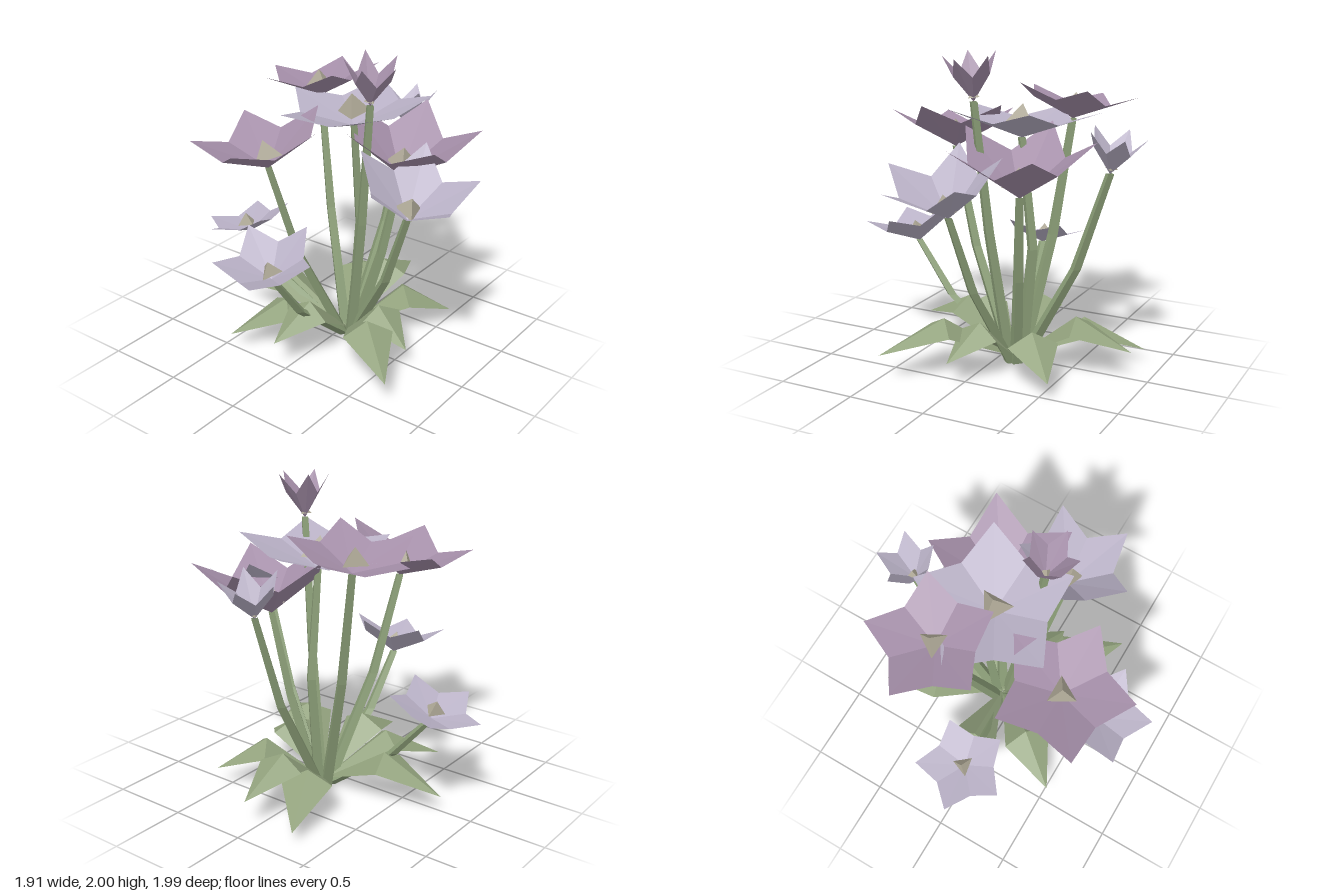
import * as THREE from 'three';

const paint = (color) => new THREE.MeshStandardMaterial({ color, flatShading: true, side: THREE.DoubleSide });
const lavender = paint(0xb9b1c6), mauve = paint(0xa48ea8), leafGreen = paint(0x93a37e),
  stemGreen = paint(0x8c9f78), tan = paint(0xb0aa98);
const V = (x, y, z) => new THREE.Vector3(x, y, z);
const UP = V(0, 1, 0);
const ROOT = V(0.12, 0, 0.04);

// Flat-faced mesh from corner points, three per triangle
function faceted(points, material, name) {
  const geo = new THREE.BufferGeometry().setFromPoints(points);
  geo.computeVertexNormals();
  const mesh = new THREE.Mesh(geo, material);
  mesh.name = name;
  return mesh;
}

// Star-shaped bloom: five tips joined at lower, shorter notches, with a three-sided pistil
function makeBloom({ at, r, rise, lean, spin, mat }) {
  const bloom = new THREE.Group();
  bloom.name = 'bloom';
  const polar = (deg, radius, y) => {
    const a = THREE.MathUtils.degToRad(deg);
    return V(Math.cos(a) * radius, y, Math.sin(a) * radius);
  };
  const centre = V(0, 0, 0), pts = [];
  for (let i = 0; i < 5; i++) {
    const a = spin + i * 72;
    const tip = polar(a, r, rise);
    const before = polar(a - 36, r * 0.67, rise * 0.57);
    const after = polar(a + 36, r * 0.67, rise * 0.57);
    pts.push(centre, tip, before, centre, after, tip);
  }
  bloom.add(faceted(pts, mat, 'petals'));

  const pistil = new THREE.Mesh(new THREE.ConeGeometry(r * 0.24, r * 0.26, 3), tan);
  pistil.name = 'pistil';
  pistil.position.y = r * 0.29;
  pistil.rotation.y = -THREE.MathUtils.degToRad(spin);
  bloom.add(pistil);

  bloom.position.set(...at);
  bloom.quaternion.setFromUnitVectors(UP, V(lean[0], 1, lean[1]).normalize());
  return bloom;
}

// Tapered four-sided stem that bends once on its way out to the bloom
function makeStem({ at, bulge = 0 }) {
  const top = V(...at);
  const out = V(top.x - ROOT.x, 0, top.z - ROOT.z);
  const foot = ROOT.clone().addScaledVector(out.clone().normalize(), 0.045);
  const bend = V(ROOT.x + out.x * 0.66 + bulge, top.y * 0.52, ROOT.z + out.z * 0.66);
  const path = [foot, bend, top];
  const geo = new THREE.CylinderGeometry(0.027, 0.044, 2, 4, 2, true);
  const p = geo.attributes.position;
  for (let i = 0; i < p.count; i++) {
    const c = path[Math.round(p.getY(i) + 1)];
    p.setXYZ(i, p.getX(i) + c.x, c.y, p.getZ(i) + c.z);
  }
  geo.computeVertexNormals();
  const stem = new THREE.Mesh(geo, stemGreen);
  stem.name = 'stem';
  return stem;
}

// Arching leaf: narrow foot, raised ridge at the widest point, drooping tip
function makeLeaf([x, y, z]) {
  const tip = V(x, y, z);
  const foot = V(ROOT.x, 0.02, ROOT.z);
  const out = V(x - ROOT.x, 0, z - ROOT.z);
  const side = V(-out.z, 0, out.x).normalize().multiplyScalar(0.16);
  const ridge = foot.clone().addScaledVector(out, 0.53).setY(0.25 + y * 0.6);
  const mid = foot.clone().addScaledVector(out, 0.56).setY(0.17 + y * 0.6);
  const right = mid.clone().add(side), left = mid.clone().sub(side);
  return faceted([
    foot, ridge, left, foot, right, ridge,
    tip, left, ridge, tip, ridge, right,
  ], leafGreen, 'leaf');
}

export function createModel() {
  const plant = new THREE.Group();
  plant.name = 'floweringPlant';

  // at: foot of the bloom, r: tip radius, rise: tip height, lean: axis tilt in x and z,
  // bulge: sideways push of the stem's bend
  const blooms = [
    { at: [-0.42, 1.32, -0.165], r: 0.425, rise: 0.25, lean: [-0.1, -0.16], spin: 90, mat: mauve },
    { at: [0.33, 1.535, -0.34], r: 0.395, rise: 0.18, lean: [0.06, -0.17], spin: -86, mat: mauve },
    { at: [0.16, 1.46, 0.045], r: 0.495, rise: 0.175, lean: [-0.01, -0.085], spin: 60, mat: lavender, bulge: 0.09 },
    { at: [-0.035, 1.7, 0.3], r: 0.17, rise: 0.285, lean: [-0.05, 0.08], spin: 22, mat: mauve },
    { at: [0.28, 1.15, 0.32], r: 0.46, rise: 0.36, lean: [0.03, 0.1], spin: 55, mat: mauve },
    { at: [-0.05, 1.05, 0.59], r: 0.38, rise: 0.32, lean: [-0.08, 0.26], spin: 46, mat: lavender },
    { at: [-0.61, 0.7, 0], r: 0.32, rise: 0.2, lean: [-0.27, 0], spin: 86, mat: lavender },
    { at: [0.74, 1.29, 0.05], r: 0.185, rise: 0.25, lean: [0.17, -0.02], spin: -16, mat: lavender },
    { at: [-0.03, 0.59, -0.68], r: 0.3, rise: 0.12, lean: [0, -0.3], spin: -98, mat: lavender },
  ];
  for (const spec of blooms) {
    const flower = new THREE.Group();
    flower.name = 'flower';
    flower.add(makeStem(spec), makeBloom(spec));
    plant.add(flower);
  }

  // Ring of leaves, given by their tips
  const leafTips = [
    [-0.47, 0.17, 0.74], [-0.56, 0.2, -0.04], [-0.52, 0.1, -0.44], [0.03, 0.115, -0.8],
    [0.87, 0.08, -0.31], [0.9, 0.185, 0.03], [0.58, 0.12, 0.555], [-0.06, 0.15, 0.62],
  ];
  leafTips.forEach((tip) => plant.add(makeLeaf(tip)));

  return plant;
}
